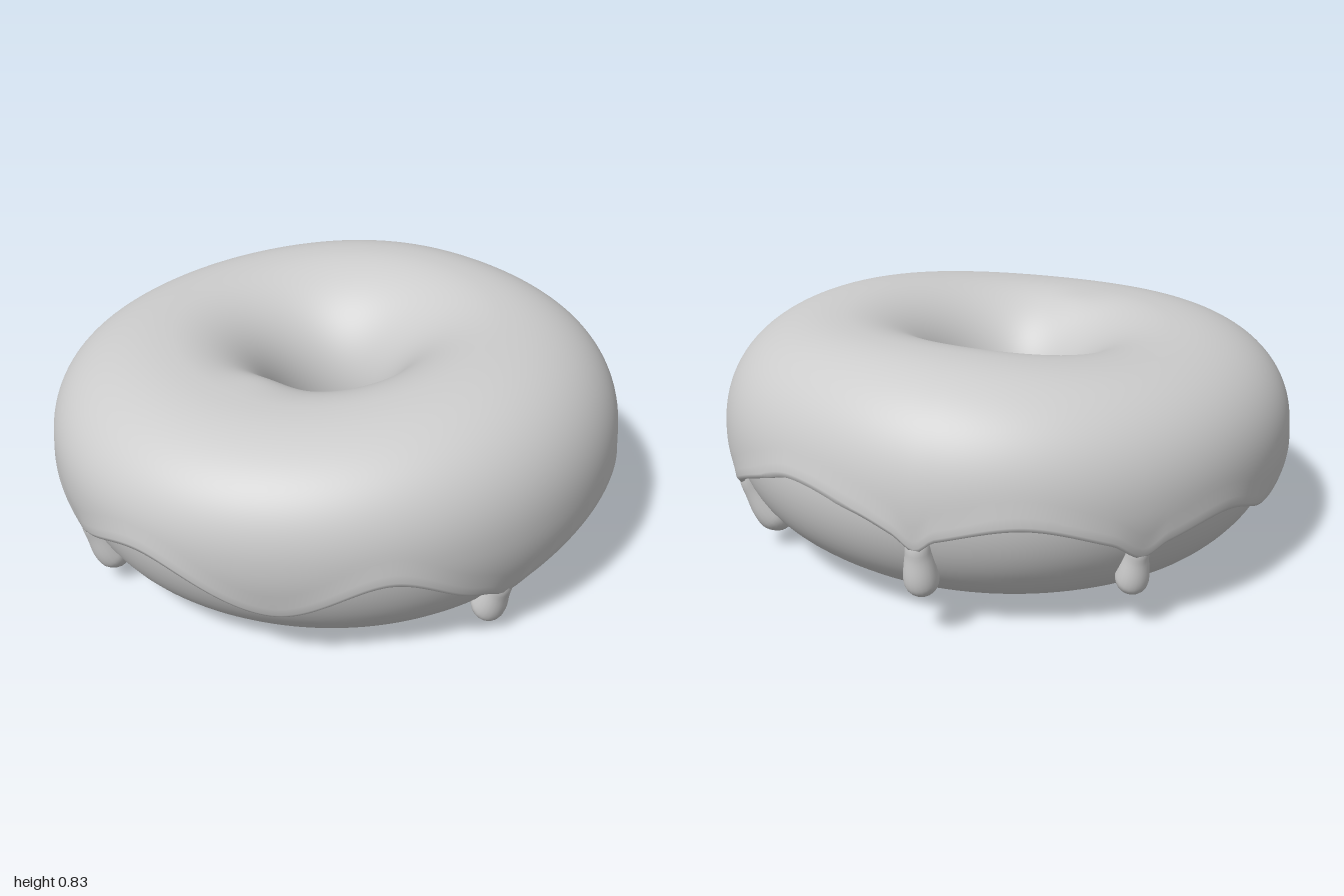
import * as THREE from 'three';

const rad = THREE.MathUtils.degToRad;
const CENTRE_Y = 0.43;
const RING = 0.575;

// Lower icing edge: [degrees around from the front, height]
const EDGE = [
  [-2, 0.385], [15, 0.265], [20, 0.235], [25, 0.195], [30, 0.24], [45, 0.325], [63, 0.38], [79, 0.36],
  [87, 0.315], [91, 0.27], [95, 0.305], [110, 0.41], [122, 0.465], [138, 0.43], [146, 0.38],
  [150, 0.33], [154, 0.375], [170, 0.425], [186, 0.35], [193, 0.28], [198, 0.325], [213, 0.365],
  [232, 0.28], [246, 0.36], [258, 0.415], [276, 0.34], [286, 0.25], [292, 0.3], [311, 0.4], [336, 0.245],
];
// Drips: [degrees, tip height, thickness]
const DRIPS = [[25, 0.06, 0.06], [91, 0.08, 0.058], [150, 0.155, 0.054], [193, 0.135, 0.052], [286, 0.07, 0.058]];

// Smooth periodic curve through the edge points
function edgeHeight(deg) {
  const n = EDGE.length;
  const key = (i) => {
    const turn = Math.floor(i / n);
    const [d, y] = EDGE[i - turn * n];
    return [d + 360 * turn, y];
  };
  while (deg >= EDGE[0][0] + 360) deg -= 360;
  let i = 0;
  while (key(i + 1)[0] <= deg) i++;
  const [p, a, b, q] = [key(i - 1), key(i), key(i + 1), key(i + 2)];
  const w = b[0] - a[0], t = (deg - a[0]) / w;
  const ma = (b[1] - p[1]) / (b[0] - p[0]) * w, mb = (q[1] - a[1]) / (q[0] - a[0]) * w;
  const t2 = t * t, t3 = t2 * t;
  return (2 * t3 - 3 * t2 + 1) * a[1] + (t3 - 2 * t2 + t) * ma + (3 * t2 - 2 * t3) * b[1] + (t3 - t2) * mb;
}

// Soft swelling around one direction
function swellAt(a, deg, width) {
  const d = 2 * Math.sin((a - rad(deg)) / 2);
  return Math.exp(-((d / rad(width)) ** 2));
}

// Depth of the ring below its middle, slightly tilted
function lowerDepth(a) {
  const s = Math.sin(a);
  return CENTRE_Y + 0.005 + 0.02 * Math.cos(a) - 0.012 * s - 0.01 * s * s;
}

// Height of the ring above its middle, uneven around the ring
function upperHeight(a) {
  return 0.368 + 0.032 * Math.sin(a) - 0.008 * Math.cos(a) + 0.008 * Math.sin(3 * a);
}

// Point on the uneven ring: a goes around, th goes outside (0) > top > hole > bottom
function surf(a, th, off) {
  const c = Math.cos(th), s = Math.sin(th);
  const outer = 0.392 + 0.033 * Math.sin(a) ** 2 + off
    - 0.03 * swellAt(a, 125, 24) + 0.016 * swellAt(a, 307, 24) - 0.008 * swellAt(a, 225, 20);
  // Full shoulder outside, straighter cone under the hole
  const power = c > 0 && s > 0 ? 0.9 : c < 0 && s < 0 ? 1.15 : 1;
  const cc = Math.sign(c) * Math.abs(c) ** power;
  const ss = Math.sign(s) * Math.abs(s) ** power;
  const r = RING + cc * (c > 0 ? outer : 0.385 + off);
  const shift = Math.max(0, -c);
  const p = new THREE.Vector3(
    r * Math.sin(a) - 0.02 * shift,
    CENTRE_Y + ss * ((s > 0 ? upperHeight(a) : lowerDepth(a)) + off),
    r * Math.cos(a) + 0.008 * shift
  );
  // Small lump beside the hole
  if (s > 0) p.y += 0.025 * s * Math.exp(-((p.x + 0.28) ** 2 + (p.z - 0.25) ** 2) / 0.012);
  return p;
}

const angleAtHeight = (a, y) => -Math.asin(Math.min(0.98, (CENTRE_Y - y) / lowerDepth(a)));

// Grid closed around u, optionally closed along v
function grid(nu, rows, closedV, point) {
  const pos = [], index = [];
  for (let j = 0; j < rows; j++)
    for (let i = 0; i < nu; i++) pos.push(...point(i / nu, j).toArray());
  const last = closedV ? rows : rows - 1;
  for (let j = 0; j < last; j++)
    for (let i = 0; i < nu; i++) {
      const k = (j + 1) % rows, m = (i + 1) % nu;
      const a = j * nu + i, b = j * nu + m, c = k * nu + m, d = k * nu + i;
      index.push(a, b, c, a, c, d);
    }
  const geo = new THREE.BufferGeometry();
  geo.setAttribute('position', new THREE.Float32BufferAttribute(pos, 3));
  geo.setIndex(index);
  geo.computeVertexNormals();
  return geo;
}

function doughGeometry() {
  const rows = 72;
  return grid(144, rows, true, (u, j) => surf(u * Math.PI * 2, (j / rows) * Math.PI * 2, -0.027));
}

function icingGeometry() {
  // Rounded lip at each end: [angle beyond the edge, offset from the surface]
  const lip = [[-0.01, -0.04], [0.03, -0.024], [0.045, -0.008], [0.035, 0.003], [0, 0.007], [-0.06, 0.003]];
  const body = 56, n = lip.length, rows = body + 2 * n;
  const inner = Math.PI + 0.18;
  return grid(360, rows, false, (u, j) => {
    const a = u * Math.PI * 2;
    const start = angleAtHeight(a, edgeHeight(u * 360));
    if (j < n) return surf(a, start - lip[j][0], lip[j][1]);
    if (j >= rows - n) {
      const [d, off] = lip[rows - 1 - j];
      return surf(a, inner + d, off);
    }
    const t = (j - n + 1) / (body + 1);
    return surf(a, THREE.MathUtils.lerp(start + 0.12, inner - 0.12, t), 0);
  });
}

// Drip that emerges from under the icing edge and swells into a rounded end
function dripGeometry(deg, tipY, thick) {
  const a = rad(deg), rows = 32;
  const start = angleAtHeight(a, edgeHeight(deg) + 0.045), end = angleAtHeight(a, tipY);
  const side = new THREE.Vector3(-Math.cos(a), 0, Math.sin(a));
  return grid(20, rows, false, (u, j) => {
    const t = Math.sin((j / (rows - 1)) * Math.PI / 2);
    const th = THREE.MathUtils.lerp(start, end, t);
    const emerge = THREE.MathUtils.smoothstep(t, 0, 0.3);
    const swell = THREE.MathUtils.smoothstep(t, 0.25, 0.8);
    const cap = Math.max(0, (t - 0.74) / 0.26);
    const r = thick * (0.78 + 0.27 * swell) * Math.sqrt(Math.max(0, 1 - cap * cap));
    const p = surf(a, th, -0.055 + 0.024 * emerge + 0.03 * swell);
    const out = surf(a, th, 0.1).sub(surf(a, th, 0)).normalize();
    const phi = u * Math.PI * 2;
    return p.addScaledVector(out, r * Math.cos(phi)).addScaledVector(side, r * Math.sin(phi));
  });
}

export function createModel() {
  const group = new THREE.Group();
  group.name = 'ringDoughnut';
  const grey = new THREE.MeshStandardMaterial({ color: 0xcccccc });
  grey.name = 'plainGrey';
  const add = (name, geo) => {
    const mesh = new THREE.Mesh(geo, grey);
    mesh.name = name;
    group.add(mesh);
  };
  add('dough', doughGeometry());
  add('icing', icingGeometry());
  DRIPS.forEach((d, i) => add(`icingDrip${i + 1}`, dripGeometry(...d)));
  return group;
}
